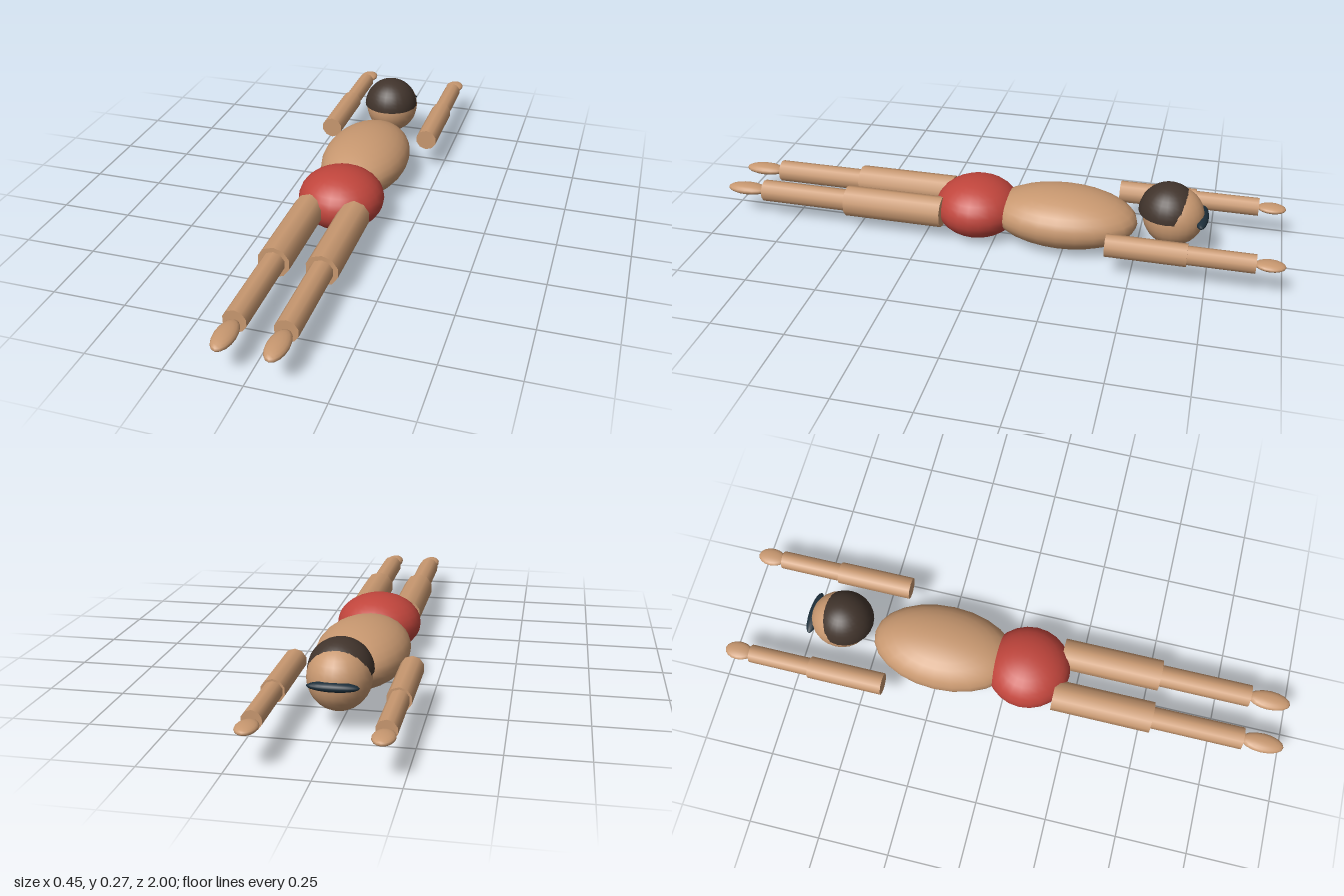
import * as THREE from 'three';

const mat = (color) => new THREE.MeshStandardMaterial({ color });

export function createModel() {
  const model = new THREE.Group();
  const skin = mat(0xc89870), red = mat(0xc0453c), hairMat = mat(0x41342c), dark = mat(0x1c2e3a);

  const add = (name, geometry, material, x, y, z) => {
    const mesh = new THREE.Mesh(geometry, material);
    mesh.name = name;
    mesh.position.set(x, y, z);
    model.add(mesh);
    return mesh;
  };

  // Ellipsoid with the given half sizes
  const ellipsoid = (name, material, [x, y, z], [rx, ry, rz], w = 24, h = 16) =>
    add(name, new THREE.SphereGeometry(1, w, h).scale(rx, ry, rz), material, x, y, z);

  // Ten-sided limb segment lying along z
  const limb = (name, x, y, z0, z1, r) =>
    add(name, new THREE.CylinderGeometry(r, r, Math.abs(z1 - z0), 10).rotateX(Math.PI / 2),
      skin, x, y, (z0 + z1) / 2);

  // Body
  ellipsoid('torso', skin, [0, 0.105, -0.24], [0.157, 0.101, 0.26]);
  ellipsoid('swimTrunks', red, [0, 0.105, 0.07], [0.15, 0.105, 0.15]);

  // Head, hair cap and goggles
  ellipsoid('head', skin, [0, 0.157, -0.62], [0.1, 0.104, 0.105]);
  add('hair', new THREE.SphereGeometry(0.102, 24, 10, 0, Math.PI * 2, 0, Math.PI * 0.5),
    new THREE.MeshStandardMaterial({ color: hairMat.color, side: THREE.DoubleSide }), 0, 0.17, -0.602);
  ellipsoid('goggles', dark, [0, 0.16, -0.717], [0.08, 0.015, 0.022], 20, 12);

  // Limbs, mirrored
  for (const [side, s] of [['left', 1], ['right', -1]]) {
    const leg = 0.08 * s, arm = 0.19 * s;
    limb(side + 'Thigh', leg, 0.105, 0.18, 0.535, 0.055);
    limb(side + 'Shin', leg, 0.105, 0.535, 0.857, 0.039);
    ellipsoid(side + 'Foot', skin, [leg, 0.105, 0.925], [0.035, 0.019, 0.075], 16, 10);
    limb(side + 'UpperArm', arm, 0.121, -0.415, -0.685, 0.039);
    limb(side + 'Forearm', arm, 0.121, -0.685, -0.905, 0.032);
    ellipsoid(side + 'Hand', skin, [arm, 0.121, -0.95], [0.034, 0.014, 0.05], 16, 10);
  }
  return model;
}
